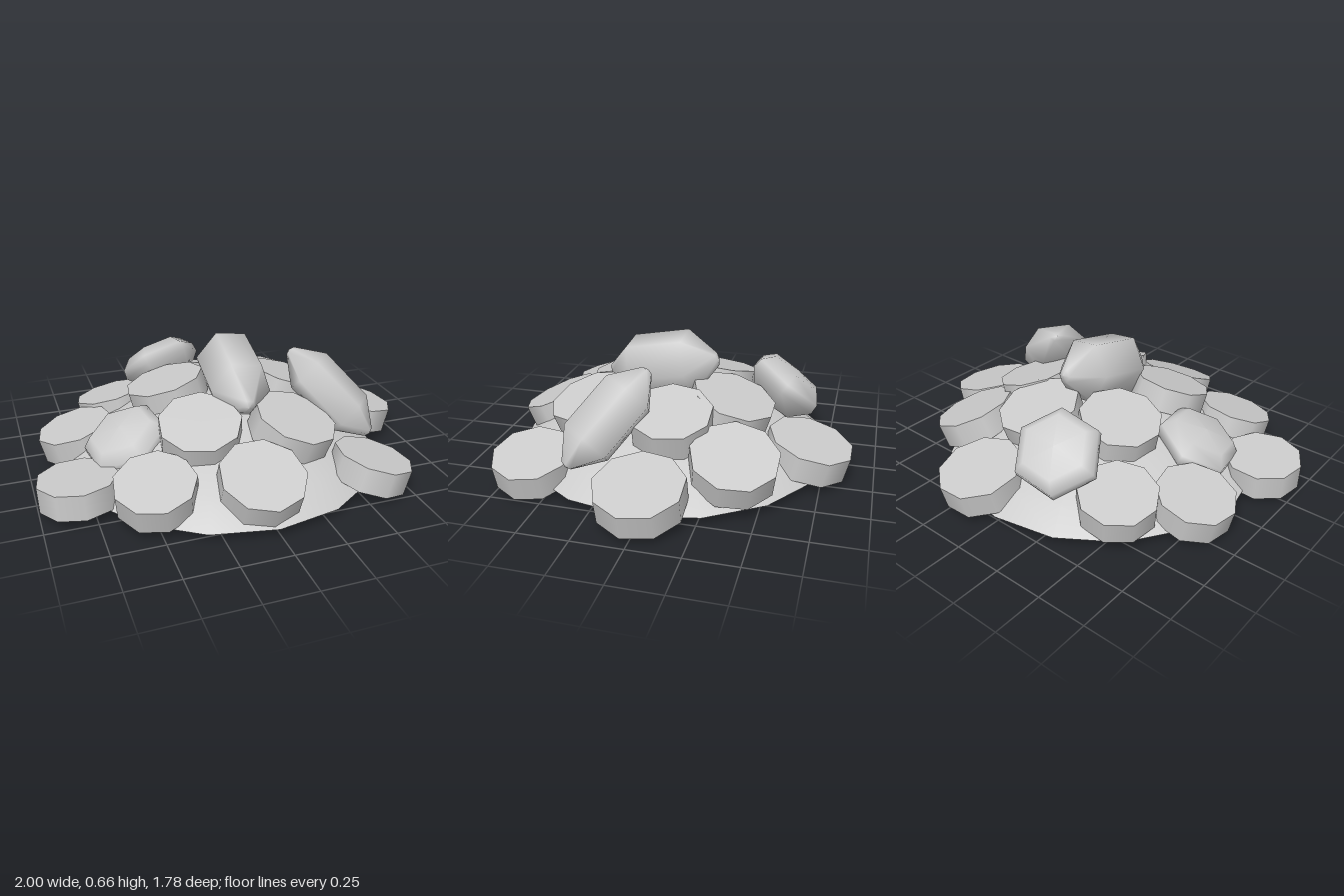
import * as THREE from 'three';

const UP = new THREE.Vector3(0, 1, 0);

export function createModel() {
  const group = new THREE.Group();
  const grey = new THREE.MeshStandardMaterial({ color: 0xcccccc });
  const shell = new THREE.MeshStandardMaterial({ color: 0xcccccc, side: THREE.DoubleSide });

  function add(name, geometry, material = grey) {
    const mesh = new THREE.Mesh(geometry, material);
    mesh.name = name;
    group.add(mesh);
    return mesh;
  }
  const lathe = (points, sides) =>
    new THREE.LatheGeometry(points.map(([r, y]) => new THREE.Vector2(r, y)), sides);

  // Open, hollow mound under the pile
  const mound = [[0.82, 0.04], [0.7, 0.135], [0.5, 0.235], [0.27, 0.3], [0, 0.325]];
  add('mound', lathe(mound, 16), shell).position.set(-0.01, 0, 0.04);

  // Thick coins: top centre x, y, z, tilt in degrees, lean direction x, z, radius
  const coinHeight = 0.128;
  const coin = new THREE.CylinderGeometry(1, 1, coinHeight, 9);
  coin.translate(0, -coinHeight / 2, 0);
  const coins = [
    // outer ring
    [0.17, 0.20, -0.69, 14, 0.2, -1, 0.213],
    [-0.49, 0.22, -0.45, 15, -0.7, -0.7, 0.195],
    [-0.74, 0.18, -0.18, 14, -1, -0.2, 0.197],
    [-0.81, 0.16, 0.32, 4, -0.6, -0.8, 0.195],
    [-0.50, 0.215, 0.57, 17, -0.4, 0.9, 0.195],
    [-0.03, 0.235, 0.70, 23, 0, 1, 0.207],
    [0.59, 0.172, 0.60, 15, 1, 0.1, 0.197],
    [0.79, 0.197, 0.0, 15, 1, 0, 0.215],
    [0.54, 0.26, -0.38, 22, 1, -0.4, 0.212],
    // upper ring
    [0.14, 0.38, -0.30, 18, 0.3, -1, 0.213],
    [-0.26, 0.39, -0.14, 15, -0.9, -0.4, 0.208],
    [0.40, 0.38, -0.04, 17, 1, -0.1, 0.205],
    [-0.22, 0.37, 0.36, 19, -0.3, 0.9, 0.203],
    [0.25, 0.35, 0.42, 20, 0.7, 0.7, 0.21],
  ];
  coins.forEach(([x, y, z, tilt, dx, dz, radius], i) => {
    const mesh = add('coin' + (i + 1), coin);
    const axis = new THREE.Vector3(dz, 0, -dx).normalize();
    mesh.quaternion.setFromAxisAngle(axis, THREE.MathUtils.degToRad(tilt));
    mesh.rotateY(i * 0.7);
    mesh.position.set(x, y, z);
    mesh.scale.set(radius, 1, radius);
  });

  // Round gems: hexagonal stones with a bevelled crown; position, facing, turn
  const roundGem = lathe([[0, -0.14], [0.13, -0.12], [0.22, -0.02], [0.215, 0.03], [0.16, 0.085], [0, 0.1]], 6);
  const roundGems = [
    [[-0.18, 0.335, -0.51], [-0.25, 0.8, -0.6], 0.52],
    [[-0.53, 0.21, 0.14], [-0.4, 0.9, 0.15], 0.15],
  ];
  roundGems.forEach(([position, facing, turn], i) => {
    const mesh = add('roundGem' + (i + 1), roundGem);
    mesh.quaternion.setFromUnitVectors(UP, new THREE.Vector3(...facing).normalize());
    mesh.rotateY(turn);
    mesh.position.set(...position);
  });

  // Long gems: six-sided barrels with narrow ends; both ends, side, width, depth
  const longGem = lathe([[0, -0.3], [0.035, -0.29], [0.16, -0.15], [0.16, 0.15], [0.035, 0.29], [0, 0.3]], 6);
  longGem.rotateY(Math.PI / 6);
  const longGems = [
    [[0.02, 0.41, 0.38], [0.06, 0.53, -0.2], [1, -0.1, -0.1], 0.97, 1.08],
    [[0.68, 0.17, 0.39], [0.35, 0.56, 0.08], [0.6, 0, -0.8], 1.08, 0.72],
  ];
  longGems.forEach(([start, end, side, wide, deep], i) => {
    const mesh = add('longGem' + (i + 1), longGem);
    const a = new THREE.Vector3(...start), b = new THREE.Vector3(...end);
    const along = b.clone().sub(a).normalize();
    const out = new THREE.Vector3(...side).cross(along).normalize();
    const across = along.clone().cross(out);
    mesh.quaternion.setFromRotationMatrix(new THREE.Matrix4().makeBasis(across, along, out));
    mesh.scale.set(wide, a.distanceTo(b) / 0.6, deep);
    mesh.position.copy(a).lerp(b, 0.5);
  });

  return group;
}
